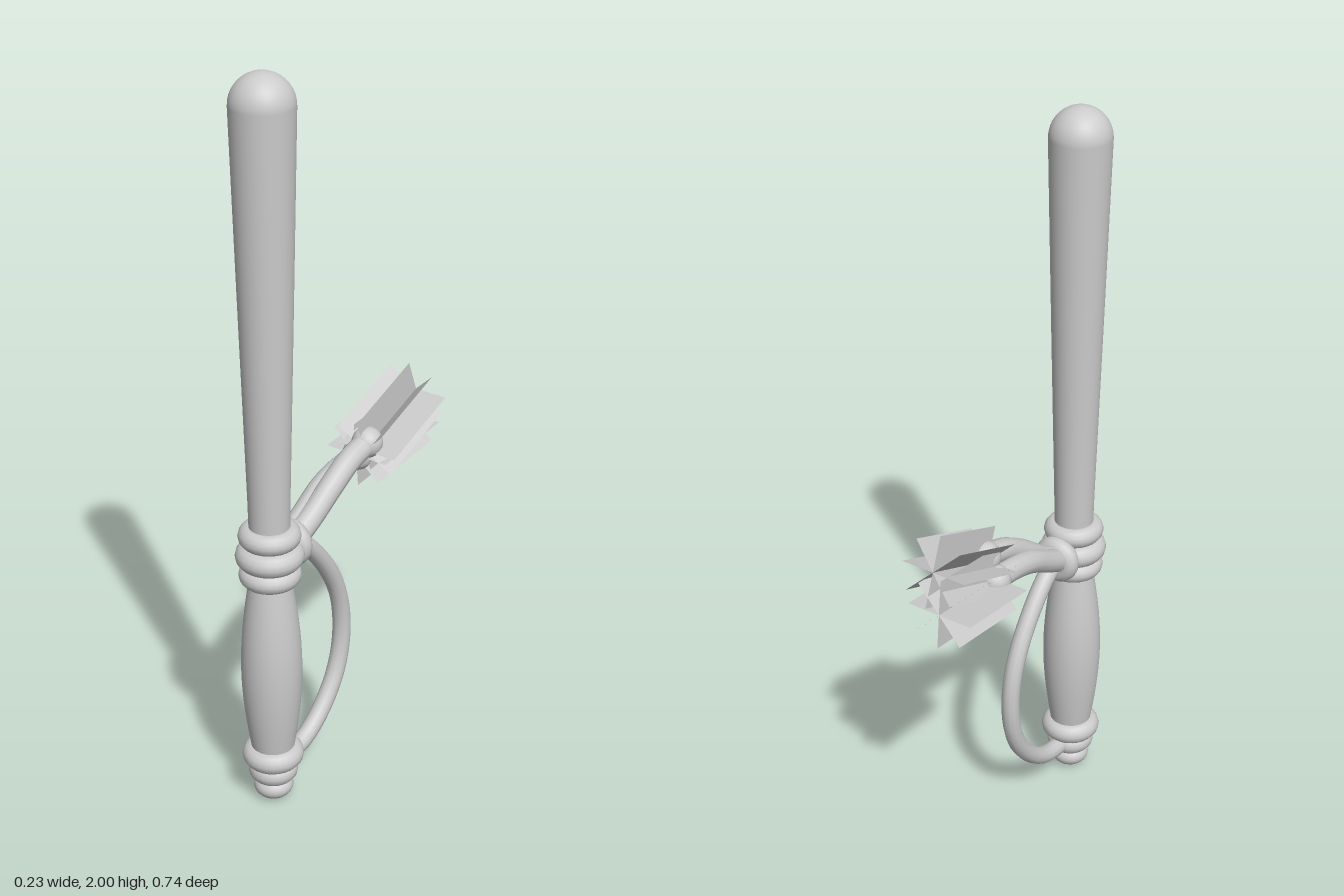
import * as THREE from 'three';

const material = new THREE.MeshStandardMaterial({ color: 0xcccccc });
const sheet = new THREE.MeshStandardMaterial({ color: 0xcccccc, side: THREE.DoubleSide });
const AXIS_Z = 0.28;

function add(parent, name, geometry, mat = material) {
  const mesh = new THREE.Mesh(geometry, mat);
  mesh.name = name;
  parent.add(mesh);
  return mesh;
}

// Smooth lathe through [radius, height] points
function turned(points) {
  return new THREE.LatheGeometry(points.map(([r, y]) => new THREE.Vector2(r, y)), 32);
}

function cord(points, radius) {
  const curve = new THREE.CatmullRomCurve3(points.map(p => new THREE.Vector3(...p)));
  return new THREE.TubeGeometry(curve, 32, radius, 12, false);
}

// Crossed sheets around an axis rising towards the back
function makeTassel(name, start, tilt) {
  const tassel = new THREE.Group();
  tassel.name = name;
  const length = 0.25;
  for (let i = 0; i < 4; i++) {
    const fringe = new THREE.PlaneGeometry(0.19, length);
    fringe.rotateX(-Math.PI / 2).translate(0, 0, -length / 2);
    add(tassel, 'fringe', fringe, sheet).rotation.z = i * Math.PI / 4;
  }
  tassel.position.set(...start);
  tassel.rotation.x = tilt;
  return tassel;
}

export function createModel() {
  const model = new THREE.Group();
  model.name = 'truncheon';

  const baton = new THREE.Group();
  baton.name = 'baton';
  baton.position.z = AXIS_Z;
  model.add(baton);

  // Tapered shaft with a domed tip
  const shaft = [[0.052, 0.78], [0.054, 0.9], [0.067, 1.4], [0.08, 1.92]];
  for (let i = 1; i <= 10; i++) {
    const a = i / 10 * Math.PI / 2;
    shaft.push([i === 10 ? 0 : 0.08 * Math.cos(a), 1.92 + 0.08 * Math.sin(a)]);
  }
  add(baton, 'shaft', turned(shaft));

  // Swelling grip
  const grip = [];
  for (let i = 0; i <= 20; i++) {
    const t = i / 20;
    grip.push([0.052 + 0.028 * Math.sin(Math.PI * t), 0.13 + 0.56 * t]);
  }
  add(baton, 'grip', turned(grip));
  add(baton, 'pommelCore', new THREE.CylinderGeometry(0.045, 0.04, 0.13, 24)).position.y = 0.095;
  add(baton, 'collarCore', new THREE.CylinderGeometry(0.055, 0.055, 0.14, 24)).position.y = 0.745;

  // Raised rings: [outer radius, height, half thickness]
  const rings = [
    [0.081, 0.69, 0.027], [0.089, 0.745, 0.031], [0.081, 0.802, 0.028],
    [0.082, 0.138, 0.03], [0.066, 0.088, 0.03],
  ];
  for (const [r, y, t] of rings) {
    const ring = add(baton, 'ring', new THREE.TorusGeometry(r - t, t, 14, 28));
    ring.rotation.x = Math.PI / 2;
    ring.position.y = y;
  }
  const butt = add(baton, 'buttKnob', new THREE.SphereGeometry(0.053, 24, 14));
  butt.scale.y = 0.68;
  butt.position.y = 0.036;

  // Knot holding the cords behind the collar
  const knot = add(model, 'knot', new THREE.TorusGeometry(0.038, 0.028, 14, 24));
  knot.position.set(0, 0.745, 0.198);

  // Wrist loop
  add(model, 'wristLoop', cord([
    [0, 0.75, 0.21], [0, 0.71, 0.14], [0, 0.59, 0.04], [0, 0.48, -0.01],
    [0, 0.36, -0.022], [0, 0.25, 0.005], [0, 0.16, 0.07], [0, 0.105, 0.15], [0, 0.09, 0.24],
  ], 0.025));

  // Two cord ends with beads and tassels
  add(model, 'leftCord', cord([
    [0.008, 0.745, 0.2], [0.012, 0.785, 0.13], [0.018, 0.85, 0.04], [0.018, 0.888, -0.03], [0.018, 0.91, -0.11],
  ], 0.032));
  add(model, 'rightCord', cord([
    [-0.012, 0.745, 0.2], [-0.015, 0.78, 0.13], [-0.019, 0.828, 0.04], [-0.02, 0.85, -0.04], [-0.02, 0.858, -0.12],
  ], 0.032));

  add(model, 'leftBead', new THREE.SphereGeometry(0.042, 20, 14)).position.set(0.018, 0.91, -0.11);
  add(model, 'rightBead', new THREE.SphereGeometry(0.042, 20, 14)).position.set(-0.02, 0.858, -0.12);

  model.add(makeTassel('leftTassel', [0.018, 0.89, -0.098], 0.37));
  model.add(makeTassel('rightTassel', [-0.02, 0.858, -0.112], 0.105));

  return model;
}
